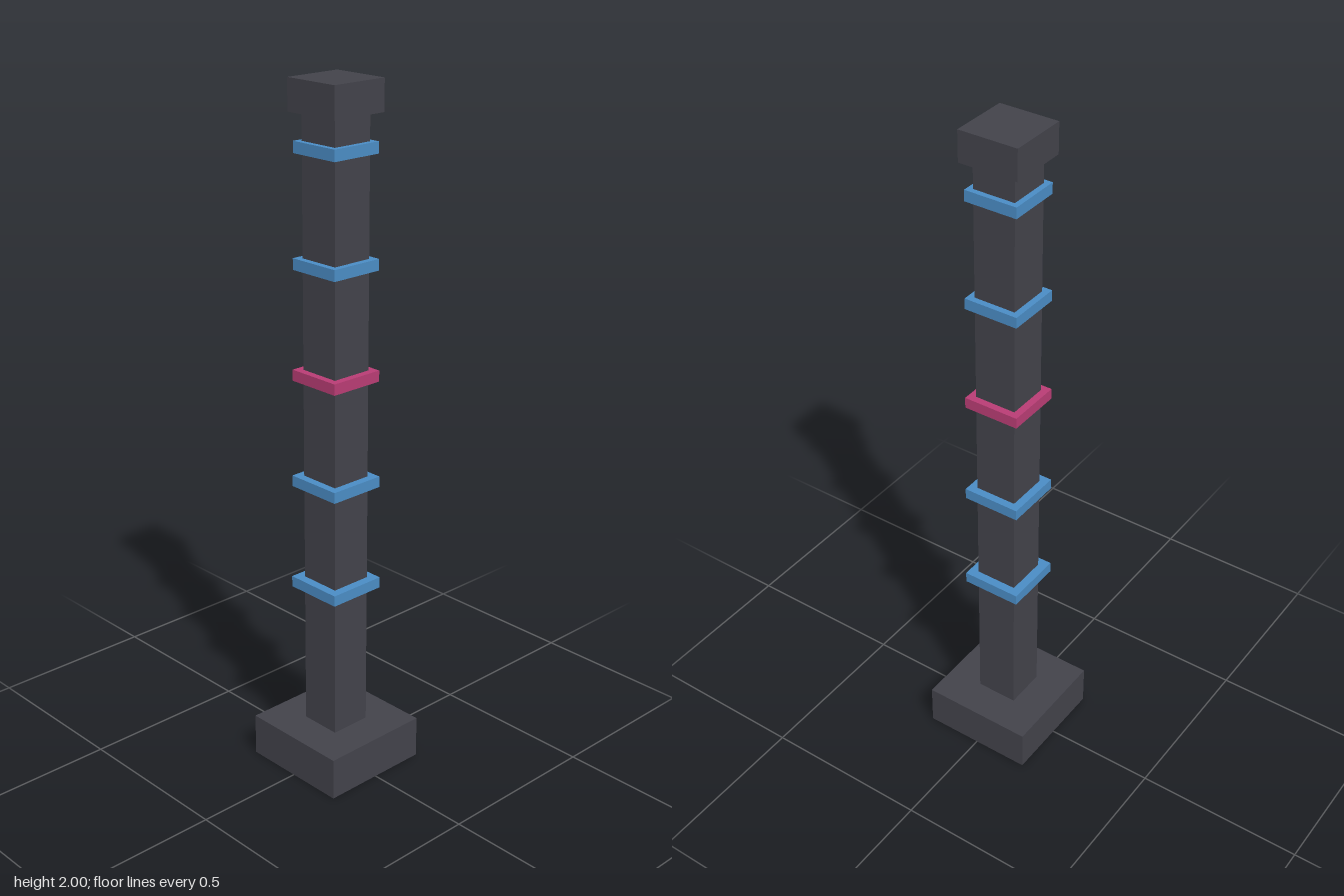
import * as THREE from 'three';

export function createModel() {
  const group = new THREE.Group();
  const material = (name, color) => {
    const m = new THREE.MeshStandardMaterial({ color });
    m.name = name;
    return m;
  };
  const darkStone = material('darkStone', 0x42424a);
  const blueGlow = material('blueGlow', 0x4a8cc4);
  const pinkGlow = material('pinkGlow', 0xb83c74);

  // Square block standing on the given height
  const block = (name, width, bottom, height, mat) => {
    const mesh = new THREE.Mesh(new THREE.BoxGeometry(width, height, width), mat);
    mesh.name = name;
    mesh.position.y = bottom + height / 2;
    group.add(mesh);
  };

  // Pillar
  block('base', 0.338, 0, 0.125, darkStone);
  block('shaft', 0.125, 0.125, 1.787, darkStone);
  block('cap', 0.176, 1.912, 0.088, darkStone);

  // Evenly spaced bands, slightly narrower toward the top
  const bandHeight = 0.032;
  for (let i = 0; i < 5; i++) {
    const centre = 0.571 + i * 0.3125;
    block(`band${i + 1}`, 0.177 - i * 0.005, centre - bandHeight / 2, bandHeight, i === 2 ? pinkGlow : blueGlow);
  }

  return group;
}
